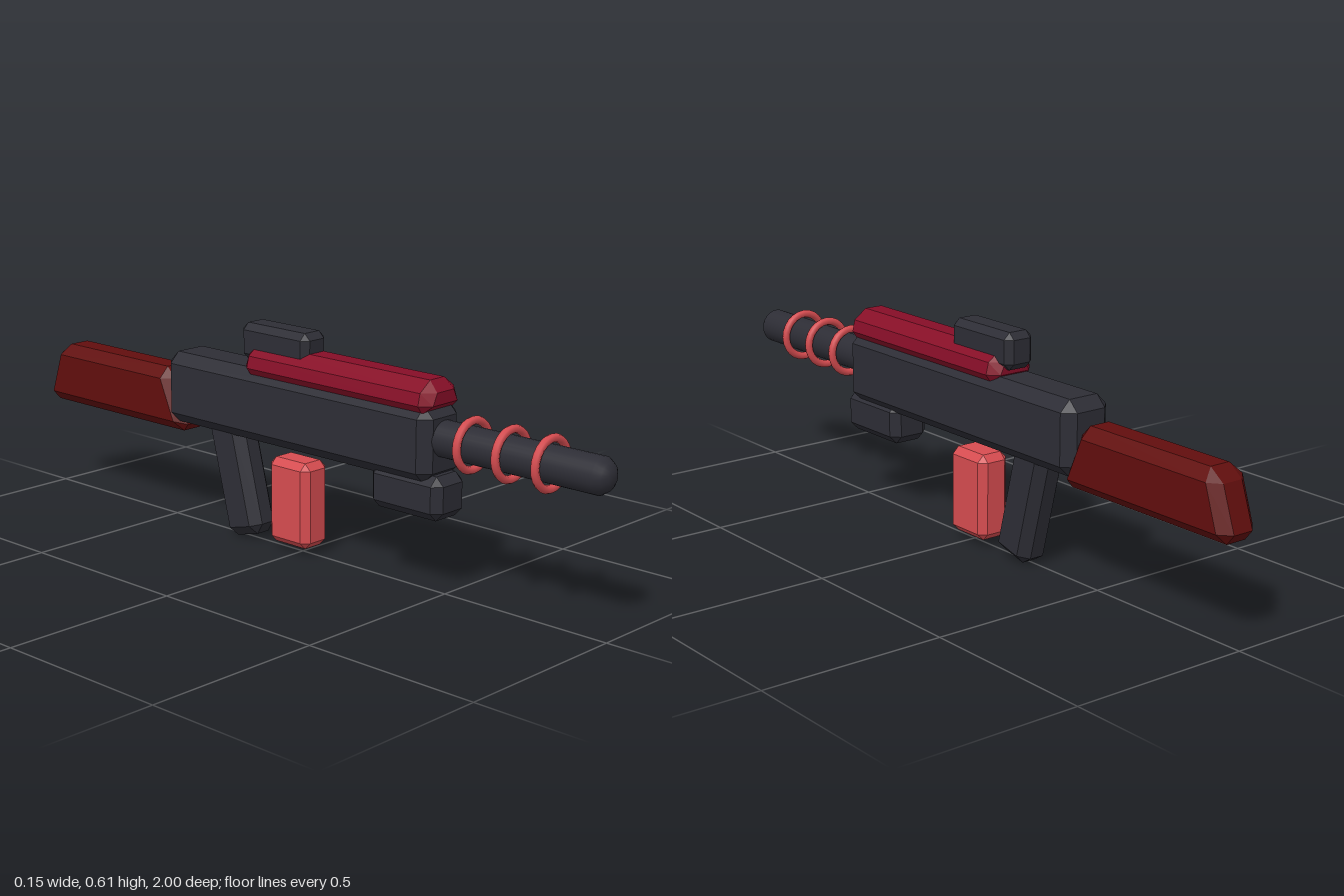
import * as THREE from 'three';
import { ConvexGeometry } from 'three/addons/geometries/ConvexGeometry.js';

const material = (name, color) => {
  const m = new THREE.MeshStandardMaterial({ color });
  m.name = name;
  return m;
};

// Box with every edge cut at 45 degrees
function chamferBox(w, h, d, c) {
  const points = [];
  for (const sx of [-1, 1]) for (const sy of [-1, 1]) for (const sz of [-1, 1]) {
    for (let full = 0; full < 3; full++) {
      points.push(new THREE.Vector3(
        sx * (w / 2 - (full === 0 ? 0 : c)),
        sy * (h / 2 - (full === 1 ? 0 : c)),
        sz * (d / 2 - (full === 2 ? 0 : c))));
    }
  }
  return new ConvexGeometry(points);
}

export function createModel() {
  const group = new THREE.Group();
  const dark = material('charcoal', 0x2d2d35);
  const crimson = material('crimson', 0x860e27);
  const coral = material('coral red', 0xd64c50);
  const maroon = material('dark red', 0x610e0d);

  const add = (name, geometry, mat, x = 0, y = 0, z = 0) => {
    const mesh = new THREE.Mesh(geometry, mat);
    mesh.name = name;
    mesh.position.set(x, y, z);
    group.add(mesh);
    return mesh;
  };

  // Chamfered blocks
  add('body', chamferBox(0.15, 0.2, 0.955, 0.03), dark, 0, 0.396, 0.0125);
  add('sight', chamferBox(0.09, 0.1, 0.245, 0.018), dark, 0, 0.563, -0.072);
  add('foreBlock', chamferBox(0.12, 0.116, 0.235, 0.023), dark, 0, 0.261, 0.402);
  add('magazine', chamferBox(0.095, 0.238, 0.145, 0.019), coral, 0, 0.141, -0.018);
  const grip = add('grip', chamferBox(0.094, 0.34, 0.13, 0.026), dark, 0, 0.176, -0.2325);
  grip.rotation.x = -0.25;

  // Top rail: tapered section along z, drawn in at both ends
  const rail = [];
  const section = [[0.027, 0.56], [0.065, 0.532], [0.073, 0.5], [0.056, 0.477]];
  const endSection = [[0.032, 0.532], [0.047, 0.5]];
  for (const s of [-1, 1]) {
    for (const z of [0.462, -0.138]) for (const [x, y] of section) rail.push(new THREE.Vector3(s * x, y, z));
    for (const z of [0.49, -0.166]) for (const [x, y] of endSection) rail.push(new THREE.Vector3(s * x, y, z));
  }
  add('topRail', new ConvexGeometry(rail), crimson);

  // Stock: full side outline in the middle, smaller outline on the flanks
  const outline = [[-0.497, 0.44], [-0.915, 0.44], [-0.958, 0.408], [-0.998, 0.293],
    [-0.975, 0.265], [-0.433, 0.265], [-0.417, 0.285], [-0.468, 0.41]];
  const flank = [[-0.497, 0.41], [-0.93, 0.41], [-0.969, 0.294], [-0.446, 0.294]];
  const stock = [];
  for (const s of [-1, 1]) {
    for (const [z, y] of outline) stock.push(new THREE.Vector3(s * 0.03, y, z));
    for (const [z, y] of flank) stock.push(new THREE.Vector3(s * 0.06, y, z));
  }
  add('stock', new ConvexGeometry(stock), maroon);

  // Barrel with a rounded tip
  const profile = [[0.0479, 0.45], [0.048, 0.97], [0.036, 0.988], [0.018, 1], [0, 1]]
    .map(([r, z]) => new THREE.Vector2(r, z));
  const barrel = add('barrel', new THREE.LatheGeometry(profile, 24), dark, 0, 0.41, 0);
  barrel.rotation.x = Math.PI / 2;

  // Coil rings around the barrel
  for (const z of [0.58, 0.7, 0.82]) {
    add('barrelRing', new THREE.TorusGeometry(0.0635, 0.011, 8, 24), coral, 0, 0.41, z);
  }
  return group;
}
